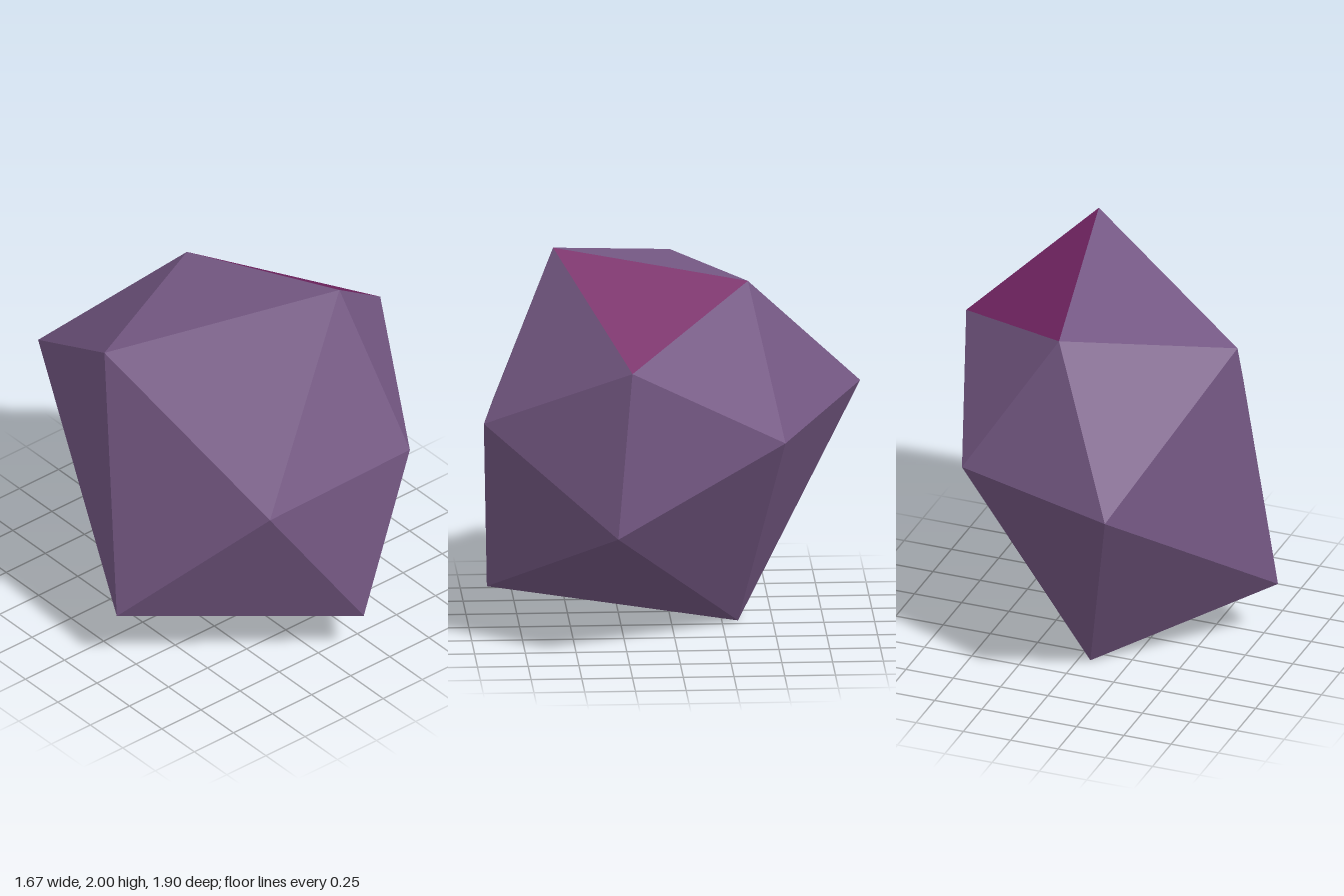
import * as THREE from 'three';

// Corners of an irregular, icosahedron-like stone
const corners = {
  top: [0.26, 2.0, 0.6],
  upLeft: [-0.72, 1.72, -0.03],
  upFrontA: [-0.4, 1.05, 0.86],
  upFrontB: [0.42, 1.15, 0.95],
  upRight: [0.82, 1.5, 0.24],
  upBack: [0.09, 1.77, -0.37],
  lowLeft: [-0.84, 0.31, 0.21],
  lowFront: [0.15, 0.25, 0.92],
  lowRight: [0.83, 0.66, 0.31],
  lowBackA: [0.54, 1.06, -0.53],
  lowBackB: [-0.38, 1.13, -0.95],
  bottom: [-0.06, 0, -0.33],
};
// Two rings of five, both counter-clockwise seen from above
const upper = ['upLeft', 'upFrontA', 'upFrontB', 'upRight', 'upBack'];
const lower = ['lowLeft', 'lowFront', 'lowRight', 'lowBackA', 'lowBackB'];

function facets(name, faces, material) {
  const geometry = new THREE.BufferGeometry();
  const points = faces.flat().flatMap((key) => corners[key]);
  geometry.setAttribute('position', new THREE.Float32BufferAttribute(points, 3));
  geometry.computeVertexNormals(); // unshared corners give flat facets
  const mesh = new THREE.Mesh(geometry, material);
  mesh.name = name;
  return mesh;
}

export function createModel() {
  const purple = new THREE.MeshStandardMaterial({ color: 0x765985 });
  purple.name = 'dusty purple';
  const magenta = new THREE.MeshStandardMaterial({ color: 0x762666 });
  magenta.name = 'deep magenta';

  const crown = [], belt = [], base = [];
  for (let i = 0; i < 5; i++) {
    const j = (i + 1) % 5;
    crown.push(['top', upper[i], upper[j]]);
    belt.push([upper[i], lower[i], upper[j]], [upper[j], lower[i], lower[j]]);
    base.push(['bottom', lower[j], lower[i]]);
  }
  // One crown facet, between the right and back corners, is tinted
  const [tinted] = crown.splice(3, 1);

  const stone = new THREE.Group();
  stone.name = 'stone';
  stone.add(
    facets('crownFacets', crown, purple),
    facets('beltFacets', belt, purple),
    facets('baseFacets', base, purple),
    facets('tintedFacet', [tinted], magenta),
  );
  return stone;
}
